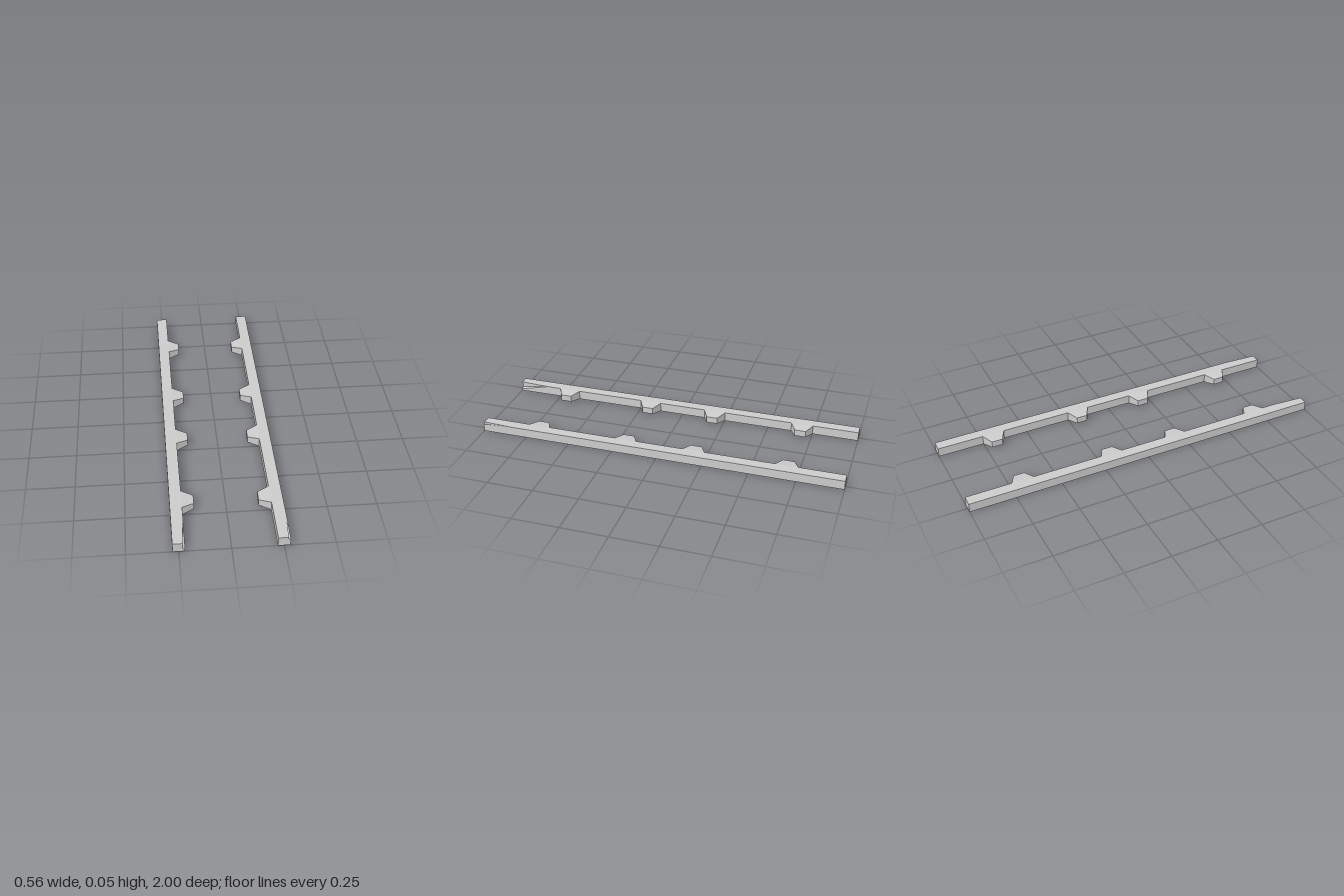
import * as THREE from 'three';

const INNER = 0.22, OUTER = 0.28, TAB = 0.16, H = 0.05;
const TAB_Z = [-0.69, -0.19, 0.19, 0.69];

// Collects flat polygons (fanned from their first corner) into one mesh.
function shell(name, polygons, side) {
  const out = [];
  const tri = new THREE.Triangle();
  for (const poly of polygons) {
    const pts = poly.map(([u, y, z]) => new THREE.Vector3(side * u, y, z));
    for (let i = 1; i < pts.length - 1; i++) {
      tri.set(pts[0], pts[i], pts[i + 1]);
      if (tri.getArea() < 1e-8) continue;
      const order = side > 0 ? [tri.a, tri.b, tri.c] : [tri.a, tri.c, tri.b];
      order.forEach((p) => out.push(p.x, p.y, p.z));
    }
  }
  const geometry = new THREE.BufferGeometry();
  geometry.setAttribute('position', new THREE.Float32BufferAttribute(out, 3));
  geometry.computeVertexNormals();
  const material = new THREE.MeshStandardMaterial({
    color: 0xcccccc, flatShading: true, side: THREE.DoubleSide,
  });
  const mesh = new THREE.Mesh(geometry, material);
  mesh.name = name;
  return mesh;
}

// Front top corner of a rail; a notch cuts it in by `inset`, down to `low`/`edge`, back to z = `back`.
function corner(u, notch) {
  if (!notch) return Array(4).fill([u, H, 1]);
  const { inset, low, edge, back } = notch;
  return [[inset, H, 1], [inset, low, 1], [u, edge, 1], [u, H, back]];
}

// Hollow channel, open underneath and open into each tab.
function railBody(side, innerNotch, outerNotch) {
  const [ai, bi, ci, di] = corner(INNER, innerNotch);
  const [ao, bo, co, dO] = corner(OUTER, outerNotch);
  const polygons = [
    // top
    [[INNER, H, -1], di, ai, ao, dO, [OUTER, H, -1]],
    // outer wall
    [[OUTER, 0, 1], [OUTER, 0, -1], [OUTER, H, -1], dO, co],
    // back end
    [[OUTER, 0, -1], [INNER, 0, -1], [INNER, H, -1], [OUTER, H, -1]],
    // notch faces
    [ai, di, bi], [bi, di, ci],
    [ao, bo, dO], [bo, co, dO],
  ];
  // front end, fanned from the bottom corner away from the notch
  const a = [INNER, 0, 1], b = [OUTER, 0, 1];
  polygons.push(innerNotch
    ? [b, co, bo, ao, ai, bi, ci, a]
    : [a, b, co, bo, ao, ai, bi, ci]);

  // inner wall between the tabs
  let start = -1;
  for (const z of TAB_Z) {
    const end = z - 0.06;
    polygons.push([[INNER, 0, start], [INNER, 0, end], [INNER, H, end], [INNER, H, start]]);
    start = z + 0.06;
  }
  polygons.push([[INNER, 0, start], [INNER, 0, 1], ci, di, [INNER, H, start]]);
  return shell('railBody', polygons, side);
}

// Tapered hollow tab on the inner side of a rail.
function tab(side, z) {
  const path = [
    [INNER, z - 0.06, 0, H],
    [TAB, z - 0.03, 0.008, 0.043],
    [TAB, z + 0.03, 0.008, 0.043],
    [INNER, z + 0.06, 0, H],
  ];
  const low = path.map(([u, pz, y]) => [u, y, pz]);
  const high = path.map(([u, pz, , y]) => [u, y, pz]);
  const polygons = [high];
  for (let i = 0; i < 3; i++) polygons.push([low[i], low[i + 1], high[i + 1], high[i]]);
  return shell('tab', polygons, side);
}

function rail(name, side, innerNotch, outerNotch) {
  const group = new THREE.Group();
  group.name = name;
  group.add(railBody(side, innerNotch, outerNotch));
  TAB_Z.forEach((z) => group.add(tab(side, z)));
  return group;
}

export function createModel() {
  const model = new THREE.Group();
  model.name = 'railPair';
  model.add(
    rail('leftRail', 1, null, { inset: 0.27, low: 0.037, edge: 0.042, back: 0.82 }),
    rail('rightRail', -1, { inset: 0.232, low: 0.018, edge: 0.01, back: 0.83 }, null),
  );
  return model;
}
